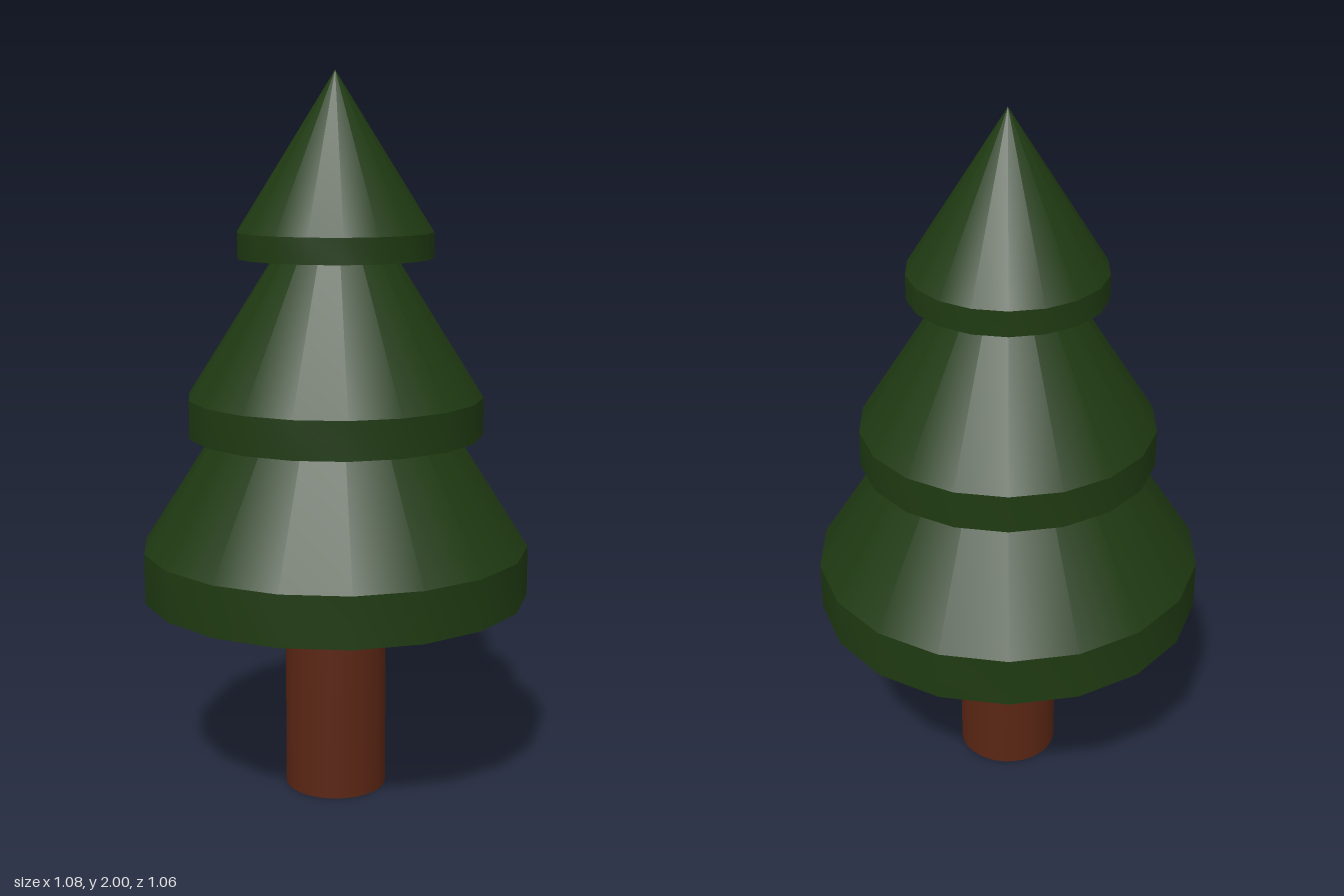
import * as THREE from 'three';
import { toCreasedNormals } from 'three/addons/utils/BufferGeometryUtils.js';

// Foliage tiers: rim radius, underside height, top of the rim band, apex height
const TIERS = [
  { name: 'lowerFoliage', radius: 0.54, base: 0.56, band: 0.70, apex: 1.545 },
  { name: 'middleFoliage', radius: 0.41, base: 1.015, band: 1.12, apex: 1.77 },
  { name: 'topFoliage', radius: 0.27, base: 1.5, band: 1.57, apex: 2.0 },
];

// A closed cone standing on a short upright rim
function foliageTier({ name, radius, base, band, apex }, material) {
  const profile = [[0, base], [radius, base], [radius, band], [0, apex]]
    .map(([r, y]) => new THREE.Vector2(r, y));
  const lathe = new THREE.LatheGeometry(profile, 18).rotateY(Math.PI / 2);
  const mesh = new THREE.Mesh(toCreasedNormals(lathe, 0.5), material);
  mesh.name = name;
  return mesh;
}

export function createModel() {
  const tree = new THREE.Group();
  tree.name = 'pineTree';
  const leaf = new THREE.MeshStandardMaterial({ color: 0x1f3a12 });
  const bark = new THREE.MeshStandardMaterial({ color: 0x5a2614 });

  // Trunk, slightly off the foliage axis, its top sunk into the lower tier
  const height = 0.62;
  const trunk = new THREE.Mesh(new THREE.CylinderGeometry(0.142, 0.142, height, 32), bark);
  trunk.name = 'trunk';
  trunk.position.set(-0.01, height / 2, 0.018);
  tree.add(trunk);

  // Three stacked tiers
  for (const tier of TIERS) tree.add(foliageTier(tier, leaf));
  return tree;
}
